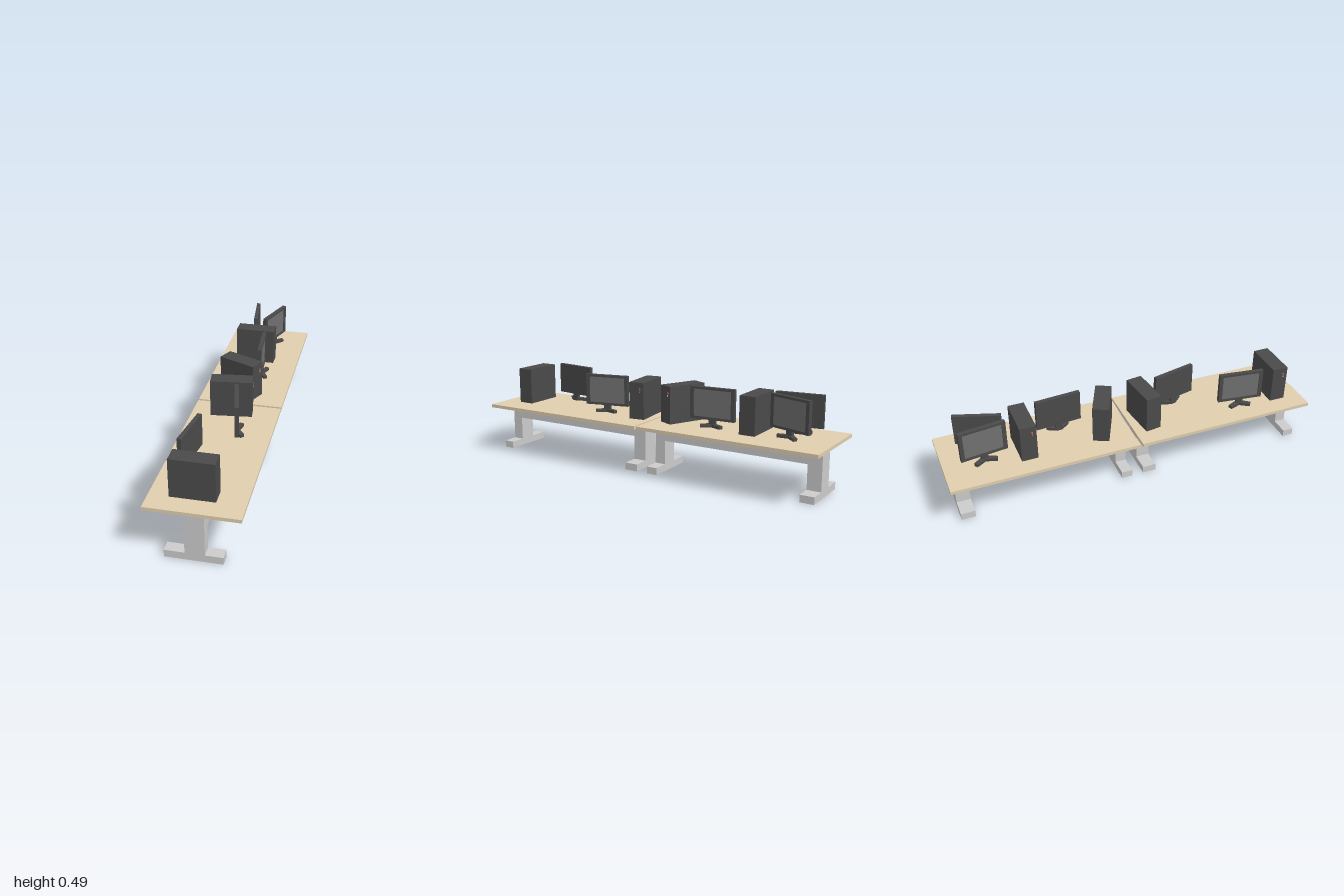
import * as THREE from 'three';

const mat = (color) => new THREE.MeshStandardMaterial({ color, flatShading: true });
const grey = mat(0xcccccc), wood = mat(0xe0cfae), dark = mat(0x4a4a4a);
const glass = mat(0x707070), red = mat(0xd8603a), pale = mat(0xbbbbbb);

// Box given by its minimum and maximum along each axis
function box(name, material, [x0, x1], [y0, y1], [z0, z1]) {
  const mesh = new THREE.Mesh(new THREE.BoxGeometry(x1 - x0, y1 - y0, z1 - z0), material);
  mesh.position.set((x0 + x1) / 2, (y0 + y1) / 2, (z0 + z1) / 2);
  mesh.name = name;
  return mesh;
}

const DESK = 0.273, UNDER = 0.255;

// Desk: top, two T-shaped legs and a beam between them
function desk(name, topZ, legA, legB) {
  const g = new THREE.Group();
  g.name = name;
  g.add(box('deskTop', wood, [-0.227, 0.227], [UNDER, DESK], topZ));
  for (const z of [legA, legB]) {
    g.add(box('legColumn', grey, [-0.04, 0.055], [0.038, UNDER], z));
    g.add(box('legFoot', grey, [-0.138, 0.141], [0, 0.038], z));
  }
  g.add(box('beam', grey, [-0.039, 0.054], [0.167, UNDER], [legA[1], legB[0]]));
  return g;
}

// Computer case with its front toward local +x
function tower(x, z, turn) {
  const g = new THREE.Group();
  g.name = 'computerCase';
  g.add(box('caseBody', dark, [-0.109, 0.109], [0, 0.199], [-0.043, 0.043]));
  g.add(box('powerButton', red, [0.108, 0.111], [0.158, 0.168], [-0.025, -0.016]));
  g.add(box('indicator', pale, [0.108, 0.111], [0.144, 0.153], [-0.022, -0.018]));
  g.position.set(x, DESK, z);
  g.rotation.y = turn;
  return g;
}

// Raised bezel with a rectangular opening for the screen
function bezelGeometry() {
  const rect = (C, w, h) => new C([[-w, -h], [w, -h], [w, h], [-w, h]].map(p => new THREE.Vector2(...p)));
  const shape = rect(THREE.Shape, 0.123, 0.084);
  shape.holes.push(rect(THREE.Path, 0.103, 0.071));
  return new THREE.ExtrudeGeometry(shape, { depth: 0.008, bevelEnabled: false }).rotateY(Math.PI / 2);
}

// V-shaped foot, its tips pointing forward
function footGeometry() {
  const pts = [[-0.012, -0.014], [0.018, -0.063], [0.037, -0.053], [0.012, 0],
    [0.037, 0.053], [0.018, 0.063], [-0.012, 0.014]];
  const shape = new THREE.Shape(pts.map(p => new THREE.Vector2(...p)));
  return new THREE.ExtrudeGeometry(shape, { depth: 0.016, bevelEnabled: false }).rotateX(Math.PI / 2);
}

const bezelGeo = bezelGeometry(), footGeo = footGeometry();

// Monitor with its screen toward local +x
function monitor(x, z, turn) {
  const g = new THREE.Group();
  g.name = 'monitor';
  g.add(box('monitorBack', dark, [-0.011, 0.003], [0.046, 0.214], [-0.123, 0.123]));
  g.add(box('screen', glass, [0.002, 0.005], [0.059, 0.201], [-0.103, 0.103]));
  const bezel = new THREE.Mesh(bezelGeo, dark);
  bezel.name = 'bezel';
  bezel.position.set(0.003, 0.13, 0);
  const foot = new THREE.Mesh(footGeo, dark);
  foot.name = 'monitorFoot';
  foot.position.y = 0.024;
  g.add(bezel, foot);
  g.add(box('neck', dark, [-0.009, 0.009], [0.02, 0.05], [-0.018, 0.018]));
  g.position.set(x, DESK, z);
  g.rotation.y = turn;
  return g;
}

export function createModel() {
  const model = new THREE.Group();
  model.name = 'deskRow';
  model.add(desk('frontDesk', [0.007, 1], [0.047, 0.12], [0.927, 0.986]));
  model.add(desk('backDesk', [-1, -0.007], [-0.958, -0.883], [-0.076, -0.017]));

  // x, z and turn of each case
  for (const t of [[-0.02, 0.857, Math.PI], [-0.02, 0.095, 0.12],
    [-0.02, -0.14, -0.43], [-0.02, -0.571, Math.PI]]) model.add(tower(...t));

  // x, z and turn of each monitor
  for (const m of [[-0.1, 0.63, Math.PI - 0.14], [0.05, 0.298, 0.22], [0.052, -0.36, 0.07],
    [-0.058, -0.786, Math.PI + 0.12], [0.05, -0.784, -0.33]]) model.add(monitor(...m));
  return model;
}
